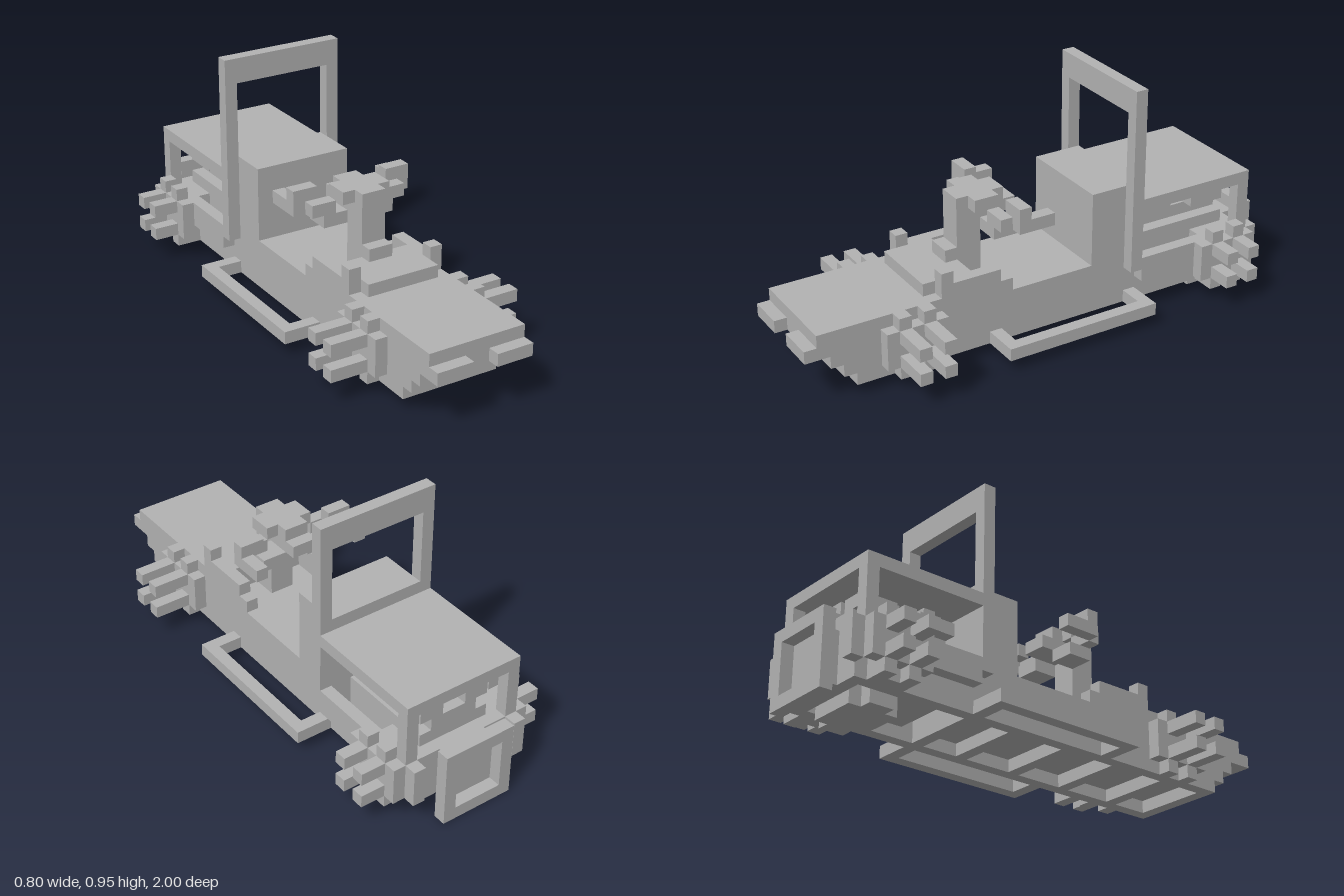
import * as THREE from 'three';

export function createModel() {
  const root = new THREE.Group();
  const grey = new THREE.MeshStandardMaterial({ color: 0xb2b2b2 });
  grey.name = 'plain grey';

  // Box from its limits on each axis
  const box = (name, x0, x1, y0, y1, z0, z1) => {
    const m = new THREE.Mesh(new THREE.BoxGeometry(x1 - x0, y1 - y0, z1 - z0), grey);
    m.position.set((x0 + x1) / 2, (y0 + y1) / 2, (z0 + z1) / 2);
    m.name = name;
    root.add(m);
  };
  // Box centred on x, of half width w
  const mid = (name, w, ...r) => box(name, -w, w, ...r);
  // Mirrored left and right boxes
  const pair = (name, x0, x1, ...r) => {
    box(name + 'Left', x0, x1, ...r);
    box(name + 'Right', -x1, -x0, ...r);
  };

  // Nose, stepped back towards the bottom
  mid('noseTop', 0.2, 0.2, 0.3, 0.5, 0.95);
  mid('noseMiddle', 0.2, 0.15, 0.2, 0.5, 0.9);
  mid('noseLower', 0.2, 0.1, 0.15, 0.5, 0.85);
  pair('headlight', 0.05, 0.2, 0.2, 0.25, 0.95, 1);

  // Body floor with a ladder frame beneath
  mid('floor', 0.2, 0.1, 0.25, -0.4, 0.5);
  pair('chassisRail', 0.15, 0.2, 0.05, 0.1, -0.4, 0.8);
  for (const z of [0.75, 0.55, 0.3, 0.05, -0.2, -0.4])
    mid('chassisRung', 0.15, 0.05, 0.1, z, z + 0.05);

  // Cowl and cockpit sides
  mid('cowl', 0.2, 0.25, 0.3, 0.4, 0.5);
  mid('cowlTop', 0.15, 0.3, 0.35, 0.3, 0.5);
  mid('dashboard', 0.15, 0.25, 0.3, 0.3, 0.4);
  pair('cockpitSide', 0.15, 0.2, 0.25, 0.3, 0.15, 0.4);
  pair('cockpitSideTop', 0.15, 0.2, 0.3, 0.35, 0.2, 0.4);
  pair('cowlPost', 0.15, 0.2, 0.3, 0.4, 0.4, 0.45);

  // Steering column and handlebars
  mid('columnFoot', 0.05, 0.25, 0.4, 0.3, 0.35);
  mid('column', 0.05, 0.25, 0.5, 0.2, 0.3);
  mid('steeringHead', 0.05, 0.5, 0.6, 0.1, 0.3);
  mid('steeringTongue', 0.05, 0.5, 0.55, 0.05, 0.1);
  mid('steeringCrown', 0.1, 0.55, 0.6, 0.15, 0.25);
  pair('handlebarBrace', 0.05, 0.15, 0.45, 0.5, 0.1, 0.2);
  pair('handlebar', 0.1, 0.2, 0.5, 0.55, 0.15, 0.2);
  pair('handlebarTop', 0.15, 0.25, 0.55, 0.6, 0.1, 0.15);
  pair('grip', 0.2, 0.25, 0.5, 0.55, 0, 0.15);

  // Seat back and roll hoop
  mid('seatBack', 0.2, 0.25, 0.55, -0.4, -0.2);
  mid('hoopTop', 0.25, 0.85, 0.95, -0.4, -0.35);
  pair('hoopPost', 0.2, 0.25, 0.2, 0.85, -0.4, -0.35);

  // Side rails
  pair('sideRail', 0.3, 0.35, 0.05, 0.1, -0.4, 0.25);
  for (const z of [-0.4, 0.2]) pair('sideRailArm', 0.2, 0.3, 0.05, 0.1, z, z + 0.05);

  // Engine bay: roof, sills and rear posts
  mid('engineRoof', 0.25, 0.45, 0.5, -0.9, -0.4);
  pair('rearPost', 0.2, 0.25, 0.25, 0.45, -0.9, -0.85);
  pair('baySill', 0.2, 0.25, 0.15, 0.25, -0.9, -0.4);
  pair('bayRail', 0.15, 0.2, 0.05, 0.15, -0.9, -0.4);
  mid('bayRear', 0.2, 0.05, 0.25, -0.9, -0.85);
  pair('tailLight', 0.2, 0.25, 0.1, 0.25, -0.95, -0.9);

  // Engine
  mid('engineBlock', 0.15, 0.1, 0.3, -0.85, -0.45);
  mid('engineTop', 0.1, 0.3, 0.35, -0.85, -0.45);
  mid('sump', 0.1, 0, 0.1, -0.85, -0.65);
  pair('sumpFoot', 0.1, 0.15, 0, 0.1, -0.8, -0.7);
  for (const z of [-0.525, -0.775]) {
    pair('intake', 0.05, 0.1, 0.35, 0.45, z - 0.025, z + 0.025);
    pair('intakeArm', 0.05, 0.15, 0.35, 0.4, z - 0.075, z + 0.075);
  }

  // Framed rear plate
  mid('rearPanel', 0.1, 0.05, 0.25, -0.95, -0.9);
  mid('rearFrameTop', 0.15, 0.25, 0.3, -1, -0.95);
  mid('rearFrameBottom', 0.15, 0, 0.05, -1, -0.95);
  pair('rearFrameSide', 0.1, 0.15, 0.05, 0.25, -1, -0.95);

  // Blocky hubs with four pegs each
  for (const [name, x, z] of [['front', 0.2, 0.575], ['rear', 0.25, -0.775]]) {
    pair(name + 'Hub', x, x + 0.05, 0.1, 0.25, z - 0.125, z + 0.125);
    for (const s of [-0.05, 0.05]) {
      pair(name + 'HubBar', x, x + 0.05, 0.05, 0.3, z + s - 0.025, z + s + 0.025);
      for (const y of [0.1, 0.2])
        pair(name + 'Peg', x + 0.05, 0.4, y, y + 0.05, z + s - 0.025, z + s + 0.025);
    }
  }
  // Inner mounts for the rear hubs
  pair('rearHubMount', 0.15, 0.25, 0.05, 0.25, -0.85, -0.7);

  return root;
}
